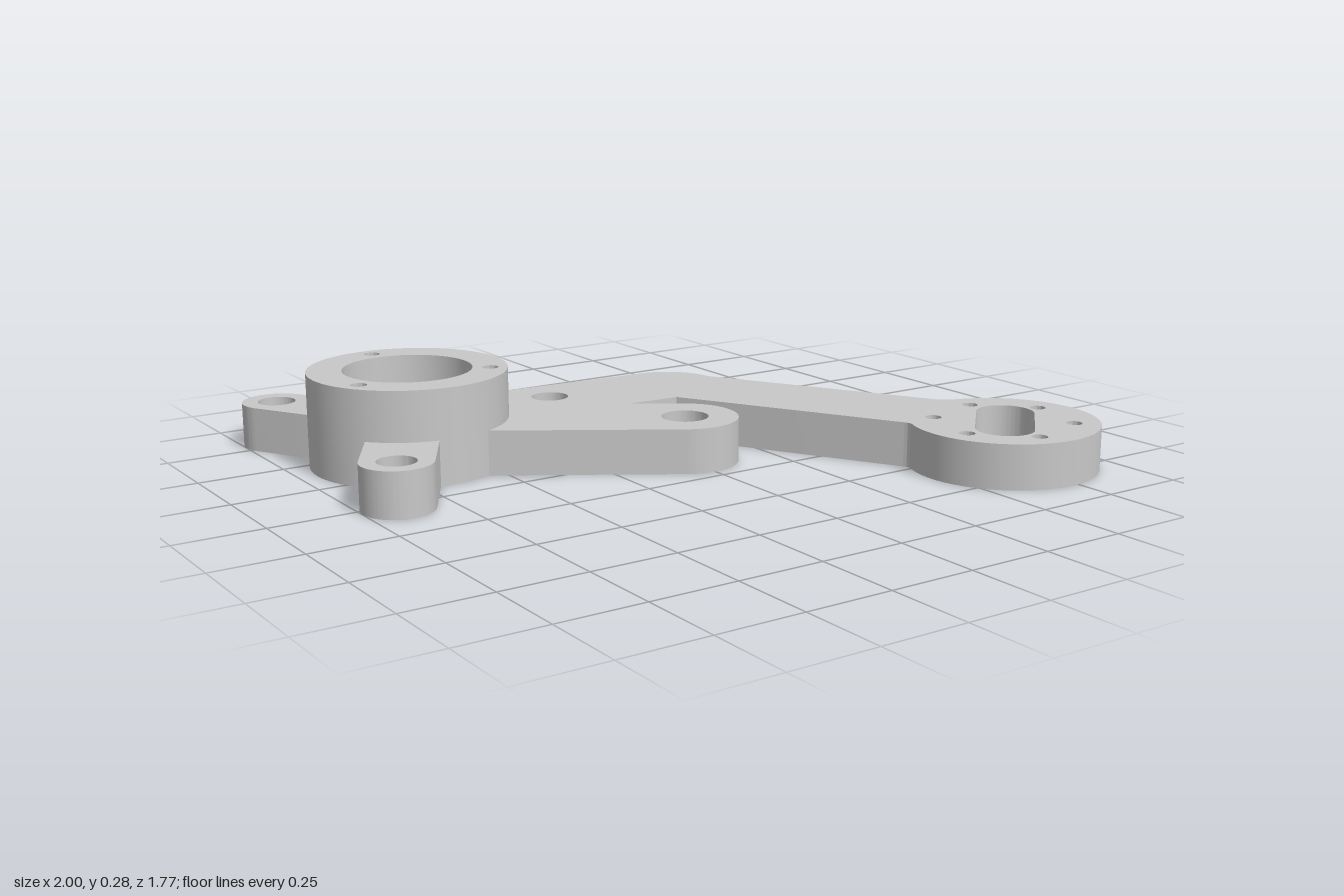
import * as THREE from 'three';
import { mergeGeometries, toCreasedNormals } from 'three/addons/utils/BufferGeometryUtils.js';

const SEG = 32;
const PLATE_H = 0.13, BOSS_H = 0.275, RECESS = 0.06;
const BOSS = [-0.663, 0.375], BOSS_R = 0.286, SEAT_R = 0.284;

// Shapes are drawn in plan as (x, -z) and laid flat afterwards.
const circle = (x, y, r) => new THREE.Path().absarc(x, y, r, 0, Math.PI * 2, false);
const disc = (x, y, r) => new THREE.Shape().absarc(x, y, r, 0, Math.PI * 2, false);
const withHoles = (shape, holes) => {
  const s = shape.clone();
  s.holes = holes;
  return s;
};
const flip = (g) => g.setIndex(Array.from(g.index.array).reverse());

// Flat face at height y, looking up or down
function cap(shape, y, up) {
  const g = new THREE.ShapeGeometry(shape, SEG);
  if (!up) flip(g);
  return g.toNonIndexed().rotateX(-Math.PI / 2).translate(0, y, 0);
}

// Inward-facing wall of a round hole
function bore(x, y, r, y0, y1) {
  const g = new THREE.CylinderGeometry(r, r, y1 - y0, SEG * 2, 1, true);
  return flip(g).toNonIndexed().translate(x, (y0 + y1) / 2, -y);
}

// Only the side walls of an extrusion, holes included
function walls(shape, y0, y1) {
  const e = new THREE.ExtrudeGeometry(shape, { depth: y1 - y0, bevelEnabled: false, curveSegments: SEG });
  const { start, count } = e.groups[1];
  const g = new THREE.BufferGeometry();
  for (const [name, n] of [['position', 3], ['normal', 3], ['uv', 2]]) {
    const a = e.attributes[name].array.slice(start * n, (start + count) * n);
    g.setAttribute(name, new THREE.BufferAttribute(a, n));
  }
  return g.rotateX(-Math.PI / 2).translate(0, y0, 0);
}

// Plate with plain holes and bolt holes [x, y, r, recessR] recessed from below
function plate(outline, bolts, plain = []) {
  const top = withHoles(outline, [...bolts.map(([x, y, r]) => circle(x, y, r)), ...plain]);
  const bottom = withHoles(outline, [...bolts.map(([x, y, , R]) => circle(x, y, R)), ...plain]);
  const boltWalls = bolts.flatMap(([x, y, r, R]) => [
    bore(x, y, R, 0, RECESS),
    cap(withHoles(disc(x, y, R), [circle(x, y, r)]), RECESS, false),
    bore(x, y, r, RECESS, PLATE_H),
  ]);
  return [
    cap(top, PLATE_H, true), cap(bottom, 0, false),
    walls(withHoles(outline, plain), 0, PLATE_H), ...boltWalls,
  ];
}

// Bent arm with forked lug and round end flange
function armParts() {
  const [bx, by] = BOSS;
  const s = new THREE.Shape();
  s.moveTo(bx + SEAT_R * Math.cos(0.573), by + SEAT_R * Math.sin(0.573));
  s.absarc(0.2, 0.325, 0.162, 1.504, 0.06, true);
  s.lineTo(0.738, -0.305);
  s.quadraticCurveTo(0.758, -0.34, 0.8, -0.345);
  s.absarc(0.727, -0.61, 0.273, 1.3, 2.75, true);
  s.quadraticCurveTo(0.486, -0.488, 0.473, -0.468);
  s.lineTo(0.117, 0.153);
  s.lineTo(-0.05, 0.162);
  s.absarc(0.002, -0.057, 0.155, 0.994, -2.148, true);
  s.absarc(bx, by, SEAT_R, -1.16, 0.573, false);

  const q = Math.PI / 4;
  const slot = new THREE.Path();
  slot.absarc(0.799, -0.543, 0.083, -q, 3 * q, false);
  slot.absarc(0.658, -0.684, 0.083, 3 * q, 7 * q, false);
  slot.closePath();
  const screws = [
    [0.777, -0.418], [0.917, -0.557], [0.867, -0.748],
    [0.674, -0.802], [0.535, -0.662], [0.585, -0.47],
  ].map(([x, y]) => circle(x, y, 0.023));
  return plate(s, [[0.002, -0.057, 0.068, 0.098], [-0.195, 0.375, 0.055, 0.078]], [slot, ...screws]);
}

// Rounded ear that points away from the boss
function earParts(side) {
  const [bx, by] = BOSS;
  const a = side * Math.PI * 2 / 3, r = 0.101, half = Math.asin(r / SEAT_R);
  const x = bx + 0.471 * Math.cos(a), y = by + 0.471 * Math.sin(a);
  const s = new THREE.Shape();
  s.moveTo(bx + SEAT_R * Math.cos(a - half), by + SEAT_R * Math.sin(a - half));
  s.absarc(x, y, r, a - Math.PI / 2, a + Math.PI / 2, false);
  s.absarc(bx, by, SEAT_R, a + half, a - half, true);
  return plate(s, [[x, y, 0.055, 0.078]]);
}

// Bearing boss: bored from both ends to a thin lip, three screw holes
function bossParts() {
  const [bx, by] = BOSS;
  const lo = 0.12, hi = 0.155, seat = 0.185, lip = 0.157;
  const screws = [0, 1, 2].map((i) => {
    const a = Math.PI / 2 + i * Math.PI * 2 / 3;
    return circle(bx + 0.236 * Math.cos(a), by + 0.236 * Math.sin(a), 0.023);
  });
  const body = disc(bx, by, BOSS_R);
  const face = withHoles(body, [circle(bx, by, seat), ...screws]);
  const ring = withHoles(disc(bx, by, seat), [circle(bx, by, lip)]);
  return [
    cap(face, BOSS_H, true), cap(face, 0, false),
    walls(withHoles(body, screws), 0, BOSS_H),
    bore(bx, by, seat, 0, lo), bore(bx, by, lip, lo, hi), bore(bx, by, seat, hi, BOSS_H),
    cap(ring, hi, true), cap(ring, lo, false),
  ];
}

export function createModel() {
  const metal = new THREE.MeshStandardMaterial({ color: 0xc8c8c8 });
  metal.name = 'light grey metal';
  const group = new THREE.Group();
  group.name = 'bracket';
  const add = (name, parts) => {
    const mesh = new THREE.Mesh(toCreasedNormals(mergeGeometries(parts), 0.5), metal);
    mesh.name = name;
    group.add(mesh);
  };
  add('arm', armParts());
  add('bearingBoss', bossParts());
  add('backEar', earParts(1));
  add('frontEar', earParts(-1));
  return group;
}
